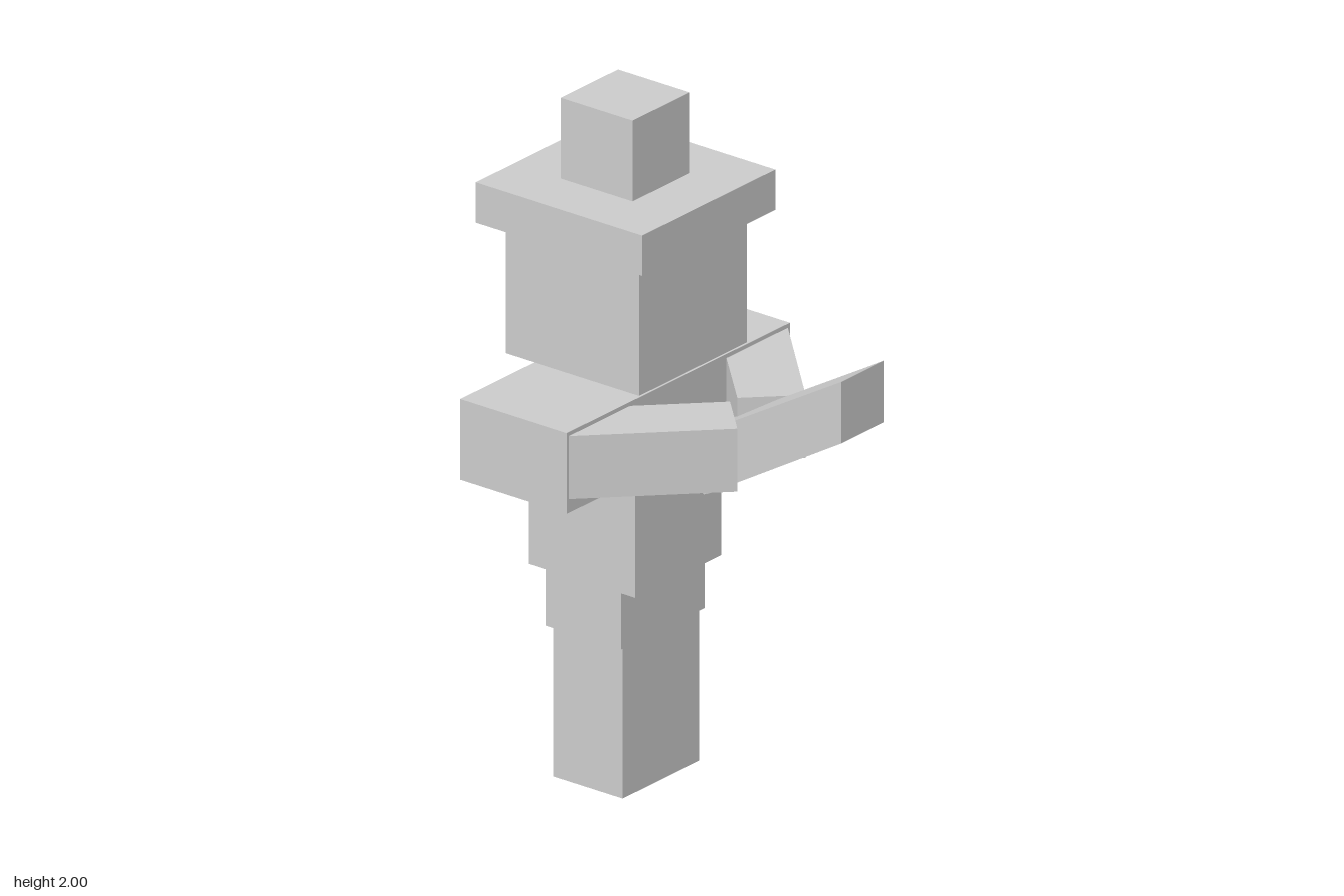
import * as THREE from 'three';

export function createModel() {
  const model = new THREE.Group();
  const material = new THREE.MeshStandardMaterial({ color: 0xcccccc, flatShading: true });

  const add = (name, geometry) => {
    const mesh = new THREE.Mesh(geometry, material);
    mesh.name = name;
    model.add(mesh);
  };

  // Box centred on x, given by half width and its y and z limits
  const block = (name, halfWidth, y0, y1, z0, z1) => {
    const g = new THREE.BoxGeometry(halfWidth * 2, y1 - y0, z1 - z0);
    add(name, g.translate(0, (y0 + y1) / 2, (z0 + z1) / 2));
  };

  const extrude = (points, depth) => new THREE.ExtrudeGeometry(
    new THREE.Shape(points.map(([a, b]) => new THREE.Vector2(a, b))),
    { depth, bevelEnabled: false });

  // Side profile of [z, y] points, extruded across x
  const sideProfile = (name, halfWidth, points) =>
    add(name, extrude(points, halfWidth * 2).rotateY(-Math.PI / 2).translate(halfWidth, 0, 0));

  // Stacked body
  block('legs', 0.167, 0, 0.45, -0.387, -0.145);
  block('hips', 0.183, 0.45, 0.62, -0.4, -0.138);
  block('neck', 0.045, 1.21, 1.25, -0.315, -0.225);
  block('head', 0.235, 1.25, 1.64, -0.5, -0.033);
  block('hatBrim', 0.29, 1.64, 1.76, -0.56, 0.022);
  block('hatCrown', 0.124, 1.76, 2, -0.395, -0.145);

  // T-shaped torso with shoulders
  add('torso', extrude([
    [-0.188, 0.62], [0.188, 0.62], [0.188, 0.97], [0.485, 0.97],
    [0.485, 1.21], [-0.485, 1.21], [-0.485, 0.97], [-0.188, 0.97],
  ], 0.373).translate(0, 0, -0.457));

  // Arms slanting inward from the shoulders, drawn as [x, z] plans
  for (const [name, s] of [['leftArm', 1], ['rightArm', -1]]) {
    const plan = [[0.477, -0.085], [0.148, 0.242], [0.016, 0.11], [0.211, -0.085]];
    add(name, extrude(plan.map(([x, z]) => [x * s, z]), 0.187)
      .rotateX(Math.PI / 2).translate(0, 1.198, 0));
  }

  // Raised blade and its narrow handle
  sideProfile('blade', 0.093, [[0.56, 1.405], [0.093, 1.133], [0.093, 0.945], [0.56, 1.222]]);
  sideProfile('handle', 0.055, [[0.093, 1.07], [-0.015, 1.005], [0.05, 0.918], [0.093, 0.945]]);

  return model;
}
